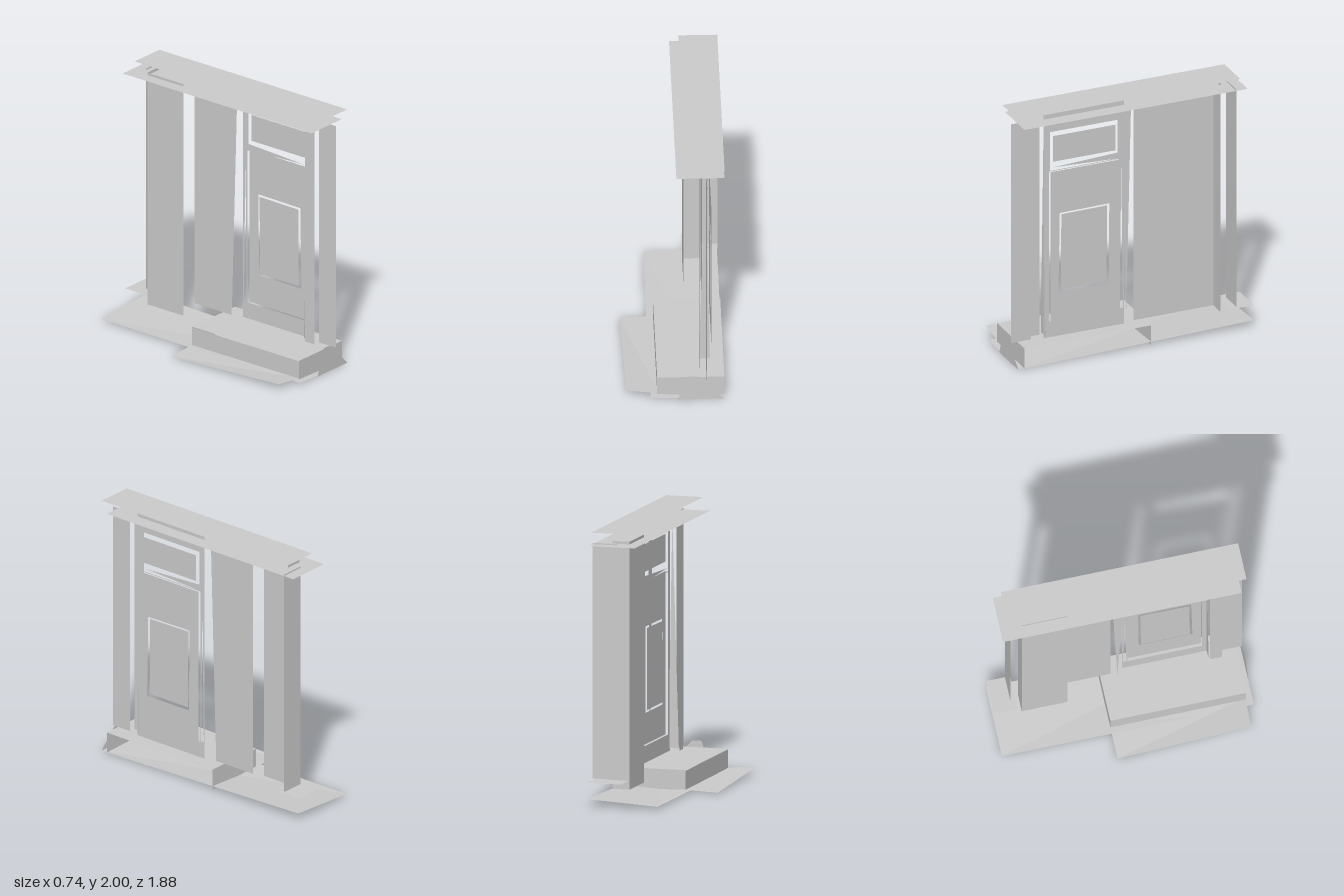
import * as THREE from 'three';

const mat = new THREE.MeshStandardMaterial({ color: 0xcccccc, side: THREE.DoubleSide, flatShading: true });
const rect = (a0, b0, a1, b1) => [[a0, b0], [a1, b0], [a1, b1], [a0, b1]];
const toVec = pts => pts.map(([a, b]) => new THREE.Vector2(a, b));

export function createModel() {
  const model = new THREE.Group();

  const add = (name, geometry) => {
    const mesh = new THREE.Mesh(geometry, mat);
    mesh.name = name;
    model.add(mesh);
  };

  const sheet = (outline, holes) => {
    const shape = new THREE.Shape(toVec(outline));
    holes.forEach(h => shape.holes.push(new THREE.Path(toVec(h))));
    return new THREE.ShapeGeometry(shape);
  };

  // Thin sheets: side sheets use (z, y), end sheets (x, y), level sheets (x, z)
  const side = (name, x, outline, ...holes) =>
    add(name, sheet(outline, holes).rotateY(-Math.PI / 2).translate(x, 0, 0));
  const end = (name, z, outline) => add(name, sheet(outline, []).translate(0, 0, z));
  const level = (name, y, outline) =>
    add(name, sheet(outline, []).rotateX(Math.PI / 2).translate(0, y, 0));

  // Warped four-cornered sheet
  const quad = (name, corners) => {
    const g = new THREE.BufferGeometry();
    g.setAttribute('position', new THREE.Float32BufferAttribute(corners.flat(), 3));
    g.setIndex([0, 1, 2, 0, 2, 3]);
    g.computeVertexNormals();
    add(name, g);
  };

  // Ground sheet and sloping flap in front of the step
  quad('floor', [[0.37, 0, 0.94], [0.37, 0.05, -0.94], [-0.17, 0.02, -0.94], [-0.17, 0.015, 0.94]]);
  quad('flap', [[-0.105, 0.02, 0.89], [-0.12, 0.015, -0.12], [-0.365, 0.005, -0.12], [-0.345, 0.045, 0.88]]);

  // Step, open on the +x side
  level('stepTop', 0.16, rect(-0.12, -0.12, 0.37, 0.89));
  side('stepRiser', -0.12, rect(-0.12, 0, 0.89, 0.155));
  end('stepFrontEnd', 0.89, rect(-0.12, 0, 0.37, 0.16));
  end('stepBackEnd', -0.12, rect(-0.12, 0, 0.37, 0.16));
  end('stepBracket', 0.94, [[0.03, 0], [0.37, 0], [0.17, 0.2], [0.1, 0.2]]);

  // Overlapping roof sheets
  level('roofUpper', 2, rect(0.085, -0.83, 0.37, 0.94));
  level('roofLower', 1.91, rect(0.02, -0.89, 0.37, 0.89));

  // Wall strips
  side('frontPillar', 0.24, rect(0.78, 0.16, 0.94, 1.91));
  side('frontJamb', 0.19, rect(0.69, 0.16, 0.78, 1.91));
  end('frontJambReturn', 0.68, [[0.19, 0.18], [0.27, 0.18], [0.24, 1.88]]);
  side('backJamb', 0.19, [[0, 0.2], [0.05, 1.91], [-0.04, 1.91]]);
  side('wall', 0.235, rect(-0.39, 0.16, -0.04, 1.91));

  // Rear pillar with its base plate
  side('rearPillarSide', 0.11, rect(-0.73, 0.1, -0.39, 1.93));
  end('rearPillarEnd', -0.73, rect(0.11, 0.1, 0.24, 1.93));
  end('rearPillarBack', -0.8, rect(0.18, 0.18, 0.37, 1.92));
  level('rearPillarBase', 0.17, rect(0.11, -0.94, 0.37, -0.76));

  // Door frame with window and door openings and a narrow slit
  side('doorFrame', 0.26, rect(0.05, 0.16, 0.69, 2),
    rect(0.1, 1.49, 0.64, 1.8),
    rect(0.09, 0.285, 0.645, 1.485),
    [[0.07, 1.42], [0.083, 0.29], [0.057, 0.29]]);
  side('windowPane', 0.272, rect(0.12, 1.565, 0.62, 1.77));
  side('windowSill', 0.262, [[0.62, 1.515], [0.07, 1.49], [0.07, 1.54]]);

  // Lower door leaf with inset panel
  side('doorLeaf', 0.282, rect(0.09, 0.285, 0.645, 1.49),
    [[0.18, 0.515], [0.58, 0.515], [0.57, 1.15], [0.175, 1.155]]);
  side('doorInset', 0.277, [[0.195, 0.535], [0.56, 0.535], [0.555, 1.135], [0.19, 1.14]]);

  return model;
}
